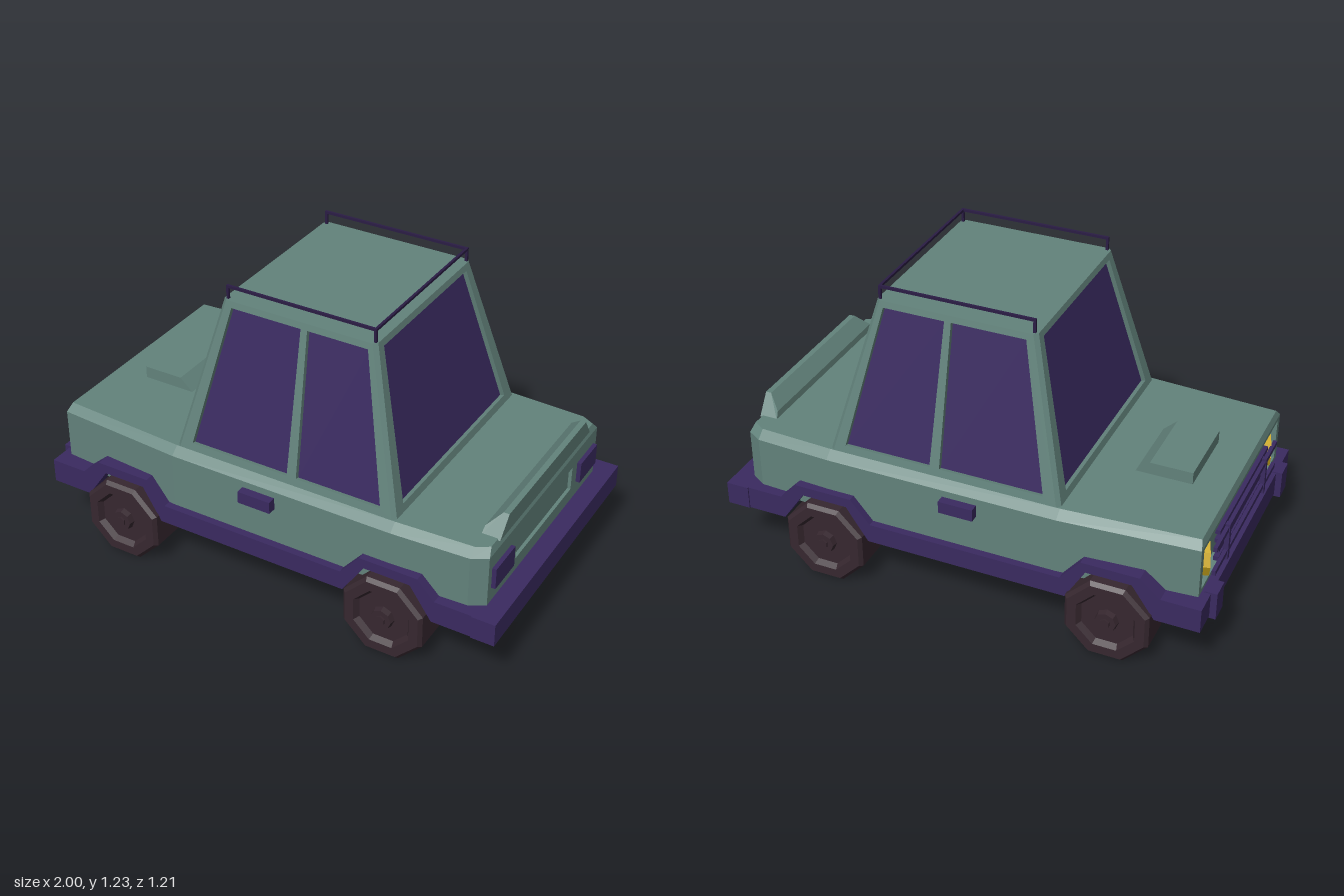
import * as THREE from 'three';

const mat = (color) => new THREE.MeshStandardMaterial({ color, flatShading: true, side: THREE.DoubleSide });
const paint = mat(0x62827b), trim = mat(0x3a2a60), rubber = mat(0x36272f), rail = mat(0x2a1c44), lamp = mat(0xc9a51c);

function add(parent, name, geometry, material, x = 0, y = 0, z = 0) {
  const mesh = new THREE.Mesh(geometry, material);
  mesh.name = name;
  mesh.position.set(x, y, z);
  parent.add(mesh);
  return mesh;
}
// box given by its min and max on each axis
const box = (parent, name, material, [x0, x1], [y0, y1], [z0, z1]) =>
  add(parent, name, new THREE.BoxGeometry(x1 - x0, y1 - y0, z1 - z0), material, (x0 + x1) / 2, (y0 + y1) / 2, (z0 + z1) / 2);

const shapeOf = (pts) => new THREE.Shape(pts.map(([x, y]) => new THREE.Vector2(x, y)));
const extrude = (shape, depth) => new THREE.ExtrudeGeometry(shape, { depth, bevelEnabled: false });

// geometry from a list of four-cornered faces
function quads(list) {
  const pos = list.flatMap(([a, b, c, d]) => [...a, ...b, ...c, ...a, ...c, ...d]);
  const g = new THREE.BufferGeometry();
  g.setAttribute('position', new THREE.Float32BufferAttribute(pos, 3));
  g.computeVertexNormals();
  return g;
}

// wall standing at a distance from the middle, leaning inwards, with filled recessed openings
function panel(parent, name, { yaw, dist, y0, rise, lean = 0, thick, outline, holes, fill, fillName }) {
  const group = new THREE.Group();
  group.name = name;
  group.rotation.y = yaw;
  const tilt = new THREE.Group();
  tilt.position.set(0, y0, dist);
  tilt.rotation.x = -Math.atan2(lean, rise);
  const stretch = Math.hypot(lean, rise) / rise;
  const local = (pts) => pts.map(([u, y]) => [u, (y - y0) * stretch]);
  const shape = shapeOf(local(outline));
  for (const hole of holes) {
    shape.holes.push(new THREE.Path(local(hole).map(([u, v]) => new THREE.Vector2(u, v))));
    add(tilt, fillName, new THREE.ShapeGeometry(shapeOf(local(hole))), fill, 0, 0, -thick * 0.9);
  }
  add(tilt, name + 'Frame', extrude(shape, thick), paint, 0, 0, -thick);
  group.add(tilt);
  parent.add(group);
}
const trapezoid = (w0, w1, y0, y1) => [[-w0, y0], [w0, y0], [w1, y1], [-w1, y1]];

function buildBody(car) {
  const half = [[-0.94, 0.49], [-0.4, 0.53], [0.55, 0.53], [0.86, 0.515], [0.92, 0.48]];
  const top = [[-0.93, 0.46], [-0.4, 0.495], [0.55, 0.495], [0.86, 0.48], [0.91, 0.45]];
  const ring = (pts, y) => [...pts.map(([x, z]) => [x, y, z]), ...pts.slice().reverse().map(([x, z]) => [x, y, -z])];
  const rings = [ring(half, 0.285), ring(half, 0.52), ring(top, 0.55)];
  const faces = [];
  const n = rings[0].length;
  for (let r = 0; r < 2; r++) {
    for (let i = 0; i < n; i++) {
      if (r === 0 && (i === 4 || i === 9)) continue; // end walls are separate
      const j = (i + 1) % n;
      faces.push([rings[r][i], rings[r][j], rings[r + 1][j], rings[r + 1][i]]);
    }
  }
  add(car, 'bodyShell', quads(faces), paint);

  // deck, open below the cabin
  const deck = shapeOf(rings[2].map(([x, , z]) => [x, -z]));
  deck.holes.push(new THREE.Path([[-0.38, -0.47], [0.53, -0.47], [0.53, 0.47], [-0.38, 0.47]].map(([x, y]) => new THREE.Vector2(x, y))));
  add(car, 'deck', new THREE.ShapeGeometry(deck), paint, 0, 0.55, 0).rotation.x = -Math.PI / 2;

  panel(car, 'rearWall', { yaw: Math.PI / 2, dist: 0.92, y0: 0.285, rise: 1, thick: 0.015, fill: paint, fillName: 'plateRecess',
    outline: trapezoid(0.48, 0.48, 0.285, 0.52), holes: [trapezoid(0.25, 0.25, 0.365, 0.465)] });
  panel(car, 'frontWall', { yaw: -Math.PI / 2, dist: 0.94, y0: 0.285, rise: 1, thick: 0.035, fill: paint, fillName: 'grilleRecess',
    outline: trapezoid(0.49, 0.49, 0.285, 0.52), holes: [trapezoid(0.46, 0.46, 0.33, 0.505)] });

  // bonnet scoop
  const scoop = shapeOf([[-0.79, 0.545], [-0.56, 0.545], [-0.62, 0.6], [-0.79, 0.6]]);
  add(car, 'bonnetScoop', extrude(scoop, 0.31), paint, 0, 0, -0.155);

  // tail spoiler, narrowing towards its top edge
  const spoiler = extrude(shapeOf([[0.845, 0.545], [0.92, 0.545], [0.923, 0.625], [0.9, 0.625], [0.85, 0.575]]), 0.8);
  spoiler.translate(0, 0, -0.4);
  const p = spoiler.attributes.position;
  for (let i = 0; i < p.count; i++) p.setZ(i, p.getZ(i) * (1 - Math.max(0, p.getY(i) - 0.55) * 2));
  spoiler.computeVertexNormals();
  add(car, 'tailSpoiler', spoiler, paint);
}

function buildCabin(car) {
  const c = 0.015, y0 = 0.55, y1 = 1.17, rise = y1 - y0;
  // side walls with two windows each
  for (const s of [1, -1]) {
    const flip = (pts) => pts.map(([u, y]) => [u * s, y]);
    panel(car, 'cabinSide', { yaw: s > 0 ? 0 : Math.PI, dist: 0.495, y0, rise, lean: 0.13, thick: 0.02, fill: trim, fillName: 'sideWindow',
      outline: flip([[-0.4 + c, y0], [0.55 - c, y0], [0.39 - c, y1], [-0.25 + c, y1]]),
      holes: [flip([[-0.33, 0.58], [0.09, 0.58], [0.085, 1.145], [-0.21, 1.145]]),
        flip([[0.13, 0.58], [0.485, 0.58], [0.36, 1.145], [0.112, 1.145]])] });
  }
  // windscreen and rear window walls
  for (const [name, yaw, dist, lean] of [['windscreen', -Math.PI / 2, 0.4, 0.15], ['rearWindow', Math.PI / 2, 0.55, 0.16]]) {
    panel(car, name + 'Wall', { yaw, dist, y0, rise, lean, thick: 0.02, fill: trim, fillName: name,
      outline: trapezoid(0.495 - c, 0.365 - c, y0, y1), holes: [trapezoid(0.42, 0.32, 0.58, 1.145)] });
  }
  // chamfered corner pillars
  for (const [xb, xt, d] of [[-0.4, -0.25, c], [0.55, 0.39, -c]]) {
    for (const s of [1, -1]) {
      const face = [[xb, y0, s * (0.495 - c)], [xb + d, y0, s * 0.495], [xt + d, y1, s * 0.365], [xt, y1, s * (0.365 - c)]];
      if (s * d < 0) face.reverse();
      add(car, 'cornerPillar', quads([face]), paint);
    }
  }
  const roof = shapeOf([[-0.25 + c, -0.365], [0.39 - c, -0.365], [0.39, -0.365 + c], [0.39, 0.365 - c],
    [0.39 - c, 0.365], [-0.25 + c, 0.365], [-0.25, 0.365 - c], [-0.25, -0.365 + c]]);
  add(car, 'roof', extrude(roof, 0.012), paint, 0, y1 - 0.012, 0).rotation.x = -Math.PI / 2;

  // roof rail, open at the front
  const t = 0.005;
  for (const s of [1, -1]) {
    const zr = [s * 0.35 - t, s * 0.35 + t];
    box(car, 'roofRailSide', rail, [-0.24, 0.385], [1.215, 1.225], zr);
    for (const x of [-0.235, 0.38]) box(car, 'roofRailPost', rail, [x - t, x + t], [1.165, 1.22], zr);
  }
  box(car, 'roofRailRear', rail, [0.375, 0.385], [1.215, 1.225], [-0.35, 0.35]);
}

function buildTrim(car) {
  // sill and wheel arch strip along each side
  const strip = shapeOf([[-0.975, 0.215], [-0.8, 0.215], [-0.71, 0.345], [-0.53, 0.345], [-0.45, 0.21],
    [0.37, 0.21], [0.46, 0.345], [0.65, 0.345], [0.74, 0.215], [0.985, 0.215], [0.985, 0.31], [0.75, 0.31],
    [0.68, 0.385], [0.44, 0.385], [0.36, 0.29], [-0.43, 0.29], [-0.51, 0.385], [-0.74, 0.385], [-0.82, 0.315], [-0.975, 0.315]]);
  for (const s of [1, -1]) {
    add(car, 'sideTrim', extrude(strip, 0.07), trim, 0, 0, s > 0 ? 0.49 : -0.56);
    box(car, 'doorHandle', trim, [-0.08, 0.06], [0.442, 0.492], [s * 0.54 - 0.025, s * 0.54 + 0.025]);
    box(car, 'tailLight', trim, [0.91, 0.937], [0.372, 0.46], [s * 0.375 - 0.078, s * 0.375 + 0.078]);
    box(car, 'bumperGuard', trim, [-1, -0.95], [0.205, 0.32], [s * 0.415 - 0.04, s * 0.415 + 0.04]);
    box(car, 'grilleGuard', trim, [-0.968, -0.945], [0.25, 0.475], [s * 0.23 - 0.01, s * 0.23 + 0.01]);
    const light = add(car, 'headlight', new THREE.CylinderGeometry(0.072, 0.072, 0.03, 8), lamp, -0.92, 0.42, s * 0.38);
    light.rotation.set(Math.PI / 8, 0, Math.PI / 2, 'ZYX');
  }
  box(car, 'rearBumper', trim, [0.9, 0.995], [0.215, 0.31], [-0.565, 0.565]);
  box(car, 'frontBumper', trim, [-0.975, -0.91], [0.215, 0.315], [-0.56, 0.56]);
  for (const y of [0.355, 0.395, 0.435, 0.475]) box(car, 'grilleBar', trim, [-0.95, -0.93], [y - 0.009, y + 0.009], [-0.3, 0.3]);
  box(car, 'grilleGuardBar', trim, [-0.965, -0.95], [0.445, 0.465], [-0.38, 0.38]);
  box(car, 'grilleGuardBar', trim, [-0.965, -0.95], [0.34, 0.36], [-0.38, 0.38]);
}

function buildWheels(car) {
  // octagonal tyre with a dished face and a hub
  const profile = [[0, -0.08], [0.15, -0.08], [0.179, -0.07], [0.179, 0.07], [0.165, 0.085], [0.125, 0.085], [0.11, 0.062], [0, 0.062]];
  const tyre = new THREE.LatheGeometry(profile.map(([r, y]) => new THREE.Vector2(r, y)), 8, Math.PI / 8);
  for (const x of [-0.625, 0.552]) {
    for (const s of [1, -1]) {
      const wheel = new THREE.Group();
      wheel.name = 'wheel';
      wheel.position.set(x, 0.165, s * 0.507);
      wheel.rotation.x = s * Math.PI / 2;
      add(wheel, 'tyre', tyre, rubber);
      add(wheel, 'hub', new THREE.CylinderGeometry(0.042, 0.048, 0.03, 8), rubber, 0, 0.07, 0);
      add(wheel, 'hubCap', new THREE.CylinderGeometry(0.02, 0.02, 0.01, 6), rubber, 0, 0.087, 0);
      car.add(wheel);
    }
  }
}

export function createModel() {
  const model = new THREE.Group();
  model.name = 'model';
  const car = new THREE.Group();
  car.name = 'car';
  car.rotation.y = 0.009;
  buildBody(car);
  buildCabin(car);
  buildTrim(car);
  buildWheels(car);
  model.add(car);
  return model;
}
